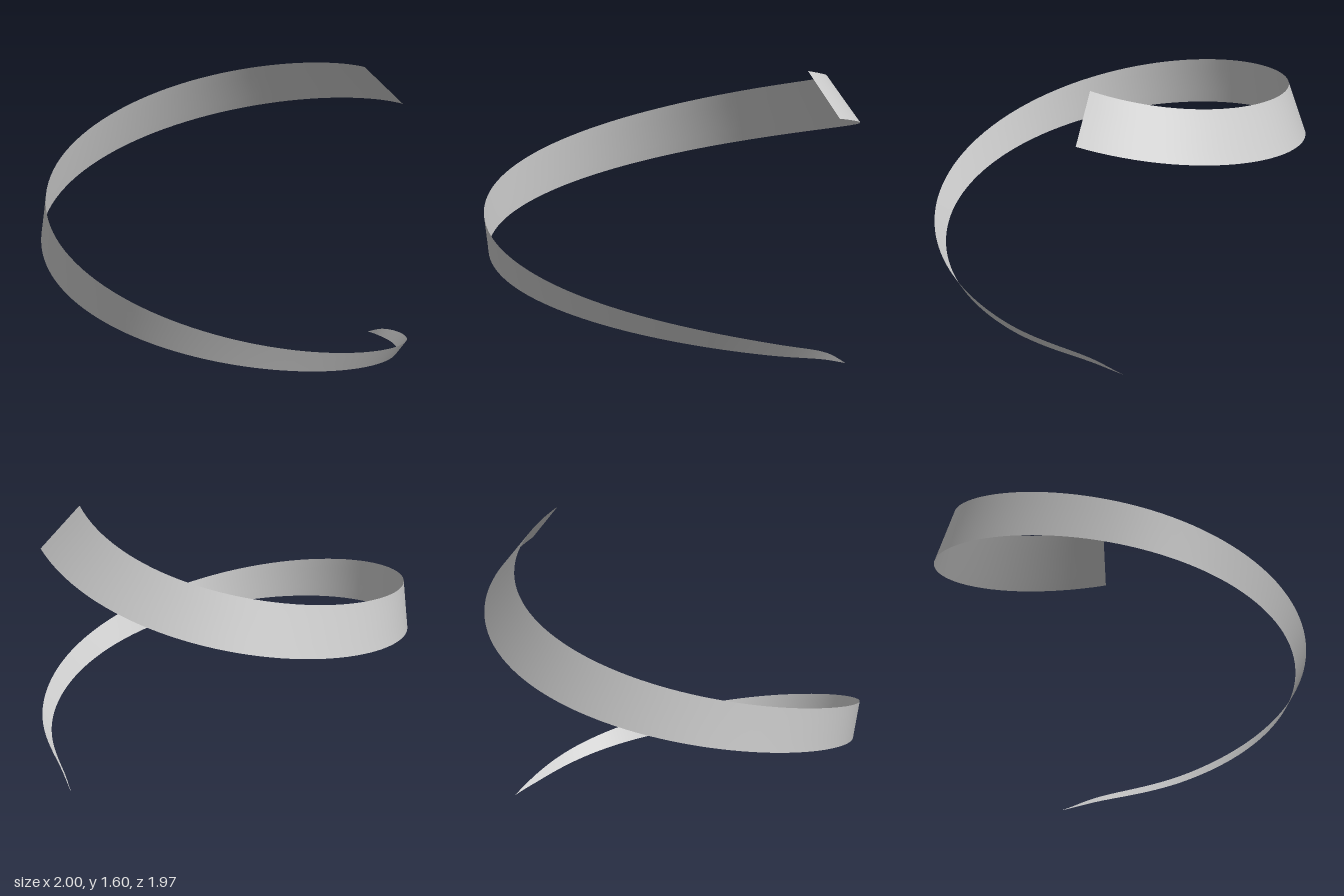
import * as THREE from 'three';

const PI = Math.PI;
const CENTRE_X = -0.05;
const STEPS = 160, ACROSS = 4;

// An edge of the ribbon: keys are (angle from +x towards +z, radius, height).
const edge = (keys) => new THREE.CatmullRomCurve3(keys.map((k) => new THREE.Vector3(...k)));

const upperEdge = edge([
  [-0.2, 0.982, 0], [0, 0.956, 0.085], [0.5, 0.98, 0.21], [PI / 2, 0.981, 0.475], [PI, 0.95, 0.893],
  [PI * 1.5, 0.887, 1.265], [PI * 2 + 0.012, 0.842, 1.6],
]);
const lowerEdge = edge([
  [-0.2, 0.982, 0], [0, 0.934, 0.05], [0.5, 0.928, 0.14], [PI / 2, 0.922, 0.34], [PI, 0.947, 0.65],
  [PI * 1.5, 0.987, 0.985], [PI * 2 + 0.048, 1.05, 1.367],
]);

const onHelix = ({ x: angle, y: radius, z: height }) =>
  new THREE.Vector3(CENTRE_X + radius * Math.cos(angle), height, radius * Math.sin(angle));

// Ruled surface between the two edges, tapering to a point at the bottom.
function ribbonGeometry() {
  const geometry = new THREE.PlaneGeometry(1, 1, STEPS, ACROSS);
  const { position, uv } = geometry.attributes;
  for (let i = 0; i < position.count; i++) {
    const t = uv.getX(i);
    const p = onHelix(lowerEdge.getPoint(t)).lerp(onHelix(upperEdge.getPoint(t)), uv.getY(i));
    position.setXYZ(i, p.x, p.y, p.z);
  }
  geometry.computeVertexNormals();
  return geometry;
}

export function createModel() {
  const group = new THREE.Group();
  group.name = 'spiralRibbon';
  const ribbon = new THREE.Mesh(
    ribbonGeometry(),
    new THREE.MeshStandardMaterial({ color: 0xcccccc, side: THREE.DoubleSide }),
  );
  ribbon.name = 'ribbon';
  group.add(ribbon);
  return group;
}
